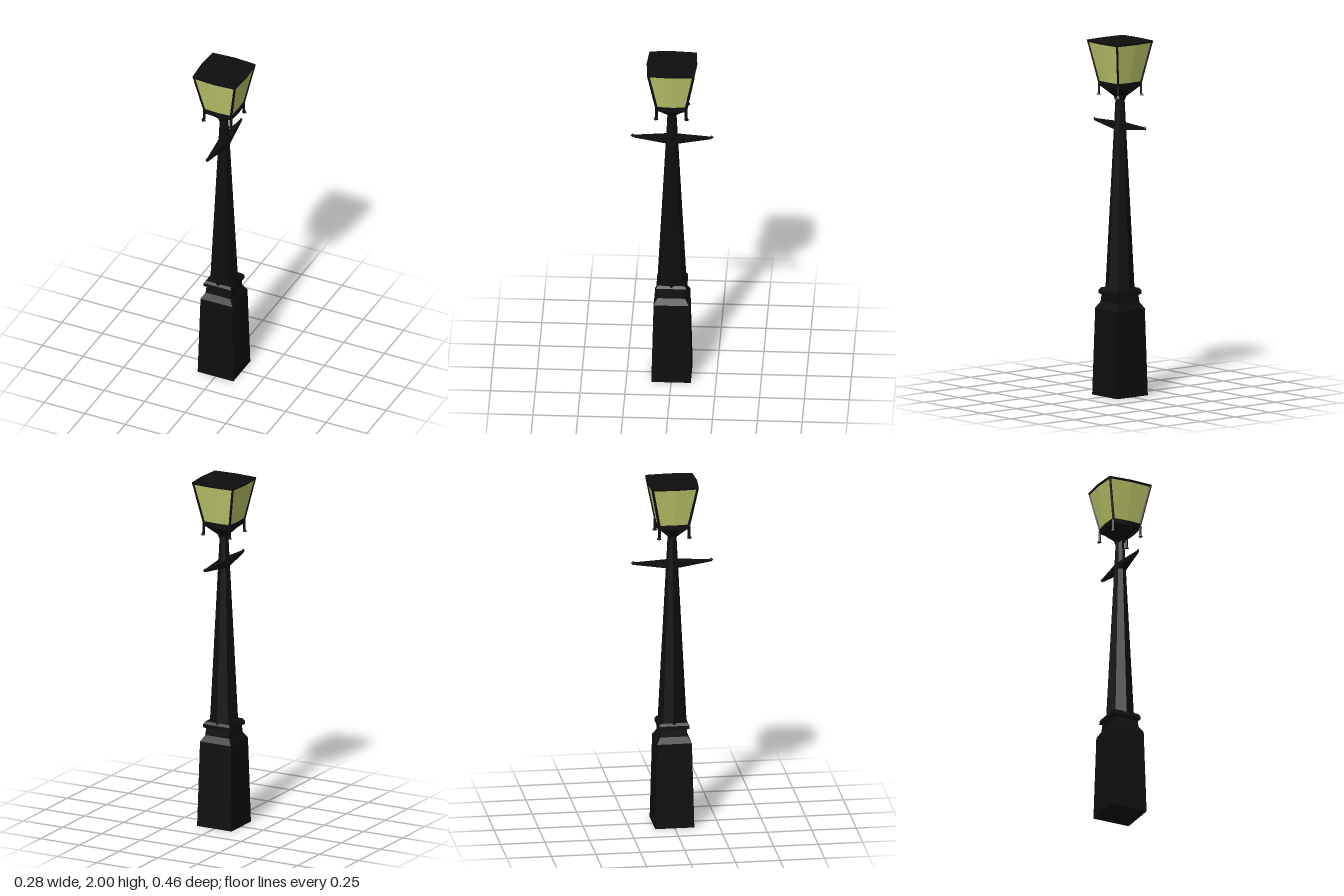
import * as THREE from 'three';

const iron = new THREE.MeshStandardMaterial({ color: 0x0e0e0e, flatShading: true });
const glass = new THREE.MeshStandardMaterial({ color: 0xc2ca6c, flatShading: true });

function mesh(name, geometry, material = iron) {
  const m = new THREE.Mesh(geometry, material);
  m.name = name;
  return m;
}

// Stacks square cross-sections [y, half width]; bow pushes the middle of each side outward
function loftSquare(levels, bow = 1, capped = true) {
  const ring = ([y, h]) => Array.from({ length: 8 }, (_, i) => {
    const a = (i * Math.PI) / 4;
    const r = i % 2 ? h * Math.SQRT2 : h * bow;
    return [Math.sin(a) * r, y, Math.cos(a) * r];
  });
  const rings = levels.map(ring);
  const pos = [];
  const tri = (a, b, c) => pos.push(...a, ...b, ...c);
  for (let k = 0; k < rings.length - 1; k++) {
    for (let i = 0; i < 8; i++) {
      const j = (i + 1) % 8;
      tri(rings[k][i], rings[k][j], rings[k + 1][j]);
      tri(rings[k][i], rings[k + 1][j], rings[k + 1][i]);
    }
  }
  if (capped) {
    const last = rings.length - 1;
    for (let i = 0; i < 8; i++) {
      const j = (i + 1) % 8;
      tri([0, levels[0][0], 0], rings[0][j], rings[0][i]);
      tri([0, levels[last][0], 0], rings[last][i], rings[last][j]);
    }
  }
  const g = new THREE.BufferGeometry();
  g.setAttribute('position', new THREE.Float32BufferAttribute(pos, 3));
  g.computeVertexNormals();
  return g;
}

// Straight square bar between two points
function bar(name, from, to, radius) {
  const dir = to.clone().sub(from);
  const m = mesh(name, new THREE.CylinderGeometry(radius, radius, dir.length(), 4));
  m.position.copy(from).add(to).multiplyScalar(0.5);
  m.quaternion.setFromUnitVectors(new THREE.Vector3(0, 1, 0), dir.normalize());
  return m;
}

// Half of the ladder rest, tapering toward its tip along +z
function ladderArm() {
  const arm = new THREE.Group();
  arm.name = 'ladderArm';
  const g = new THREE.BoxGeometry(2, 1, 1);
  const p = g.attributes.position;
  const lerp = THREE.MathUtils.lerp;
  for (let i = 0; i < p.count; i++) {
    const t = p.getZ(i) + 0.5;
    const y = p.getY(i) > 0 ? lerp(1.537, 1.533, t) : lerp(1.495, 1.521, t);
    p.setXYZ(i, p.getX(i) * lerp(0.028, 0.005, t), y, t * 0.215);
  }
  g.computeVertexNormals();
  const tip = mesh('armTip', new THREE.OctahedronGeometry(1));
  tip.scale.set(0.008, 0.013, 0.012);
  tip.position.set(0, 1.531, 0.22);
  arm.add(mesh('armBar', g), tip);
  return arm;
}

export function createModel() {
  const model = new THREE.Group();
  model.name = 'streetLamp';

  // Square pedestal with a necked collar
  model.add(mesh('pedestal', loftSquare([
    [0, 0.11], [0.49, 0.098], [0.525, 0.077], [0.565, 0.073],
    [0.572, 0.086], [0.59, 0.085], [0.605, 0.075],
  ])));

  // Eight-sided tapering post
  const post = mesh('post', new THREE.CylinderGeometry(0.025, 0.082, 1.09, 8));
  post.position.y = 1.135;
  model.add(post);

  // Ladder rest, one arm each way
  const frontArm = ladderArm();
  const backArm = ladderArm();
  backArm.rotation.y = Math.PI;
  model.add(frontArm, backArm);

  // Lantern: funnel and band, glass, roof slab
  const bow = 1.07;
  const lantern = new THREE.Group();
  lantern.name = 'lantern';
  lantern.add(
    mesh('lanternBase', loftSquare([
      [1.665, 0.02], [1.685, 0.025], [1.738, 0.074], [1.742, 0.087], [1.77, 0.087],
    ], bow)),
    mesh('glassPanes', loftSquare([[1.768, 0.083], [1.992, 0.126]], bow, false), glass),
    mesh('roof', loftSquare([[1.989, 0.13], [2, 0.132]], bow)),
  );

  // Corner frame bars and small hanging finials
  for (const sx of [-1, 1]) {
    for (const sz of [-1, 1]) {
      const at = (h, y) => new THREE.Vector3(sx * h, y, sz * h);
      lantern.add(bar('frameBar', at(0.083, 1.765), at(0.126, 1.995), 0.0075));
      lantern.add(bar('finialStem', at(0.083, 1.7), at(0.083, 1.76), 0.008));
      const foot = mesh('finialFoot', new THREE.CylinderGeometry(0.007, 0.014, 0.014, 4));
      foot.position.copy(at(0.085, 1.697));
      lantern.add(foot);
    }
  }
  model.add(lantern);
  return model;
}
